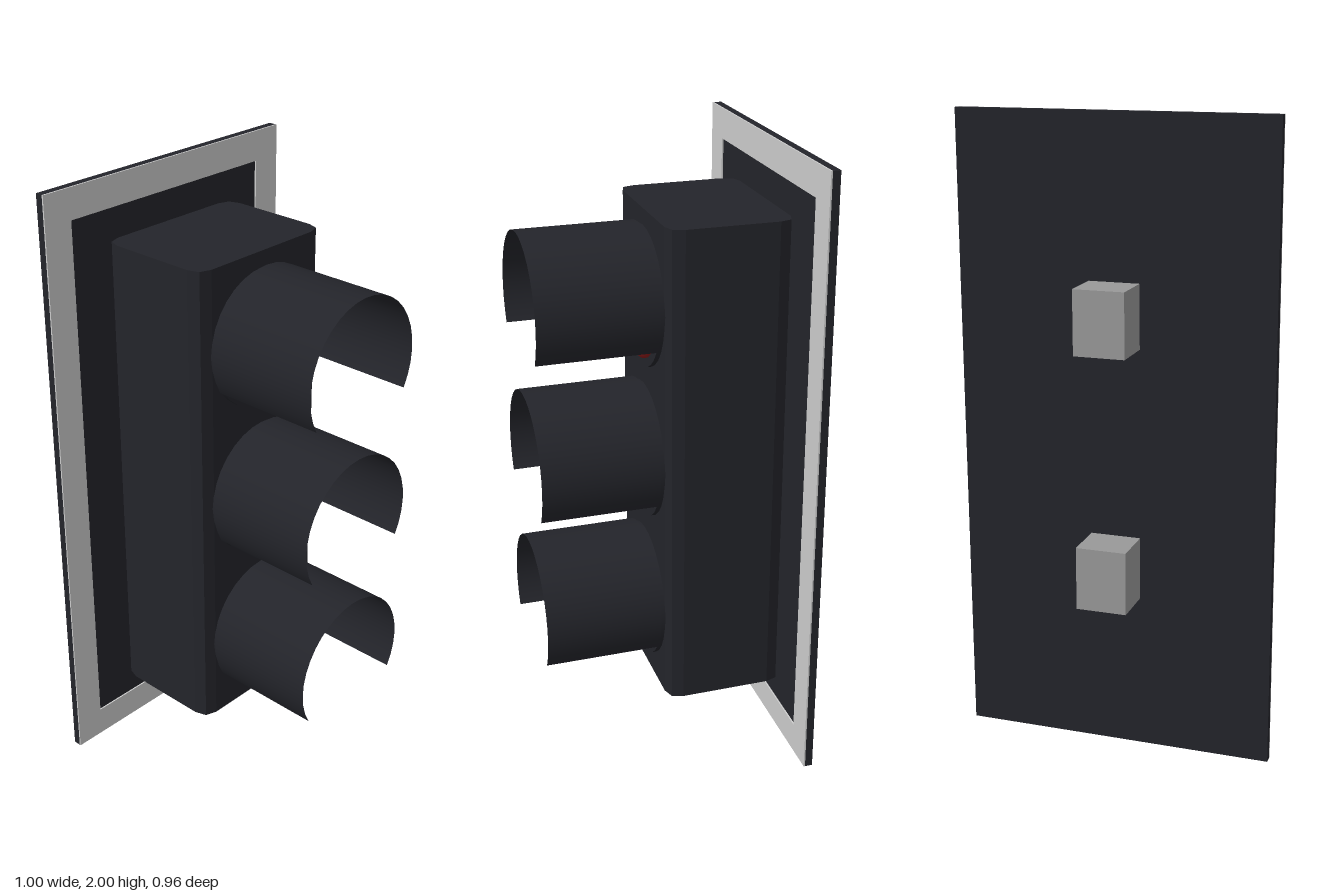
import * as THREE from 'three';

const mat = (color, side = THREE.FrontSide) => new THREE.MeshStandardMaterial({ color, side });

function add(parent, name, geometry, material, x = 0, y = 0, z = 0) {
  const mesh = new THREE.Mesh(geometry, material);
  mesh.name = name;
  mesh.position.set(x, y, z);
  parent.add(mesh);
  return mesh;
}

// Rectangle with softened corners, centred on the origin
function roundedRect(w, d, r) {
  const x = w / 2, y = d / 2;
  const s = new THREE.Shape();
  s.moveTo(-x + r, -y);
  s.lineTo(x - r, -y);
  s.quadraticCurveTo(x, -y, x, -y + r);
  s.lineTo(x, y - r);
  s.quadraticCurveTo(x, y, x - r, y);
  s.lineTo(-x + r, y);
  s.quadraticCurveTo(-x, y, -x, y - r);
  s.lineTo(-x, -y + r);
  s.quadraticCurveTo(-x, -y, -x + r, -y);
  return s;
}

export function createModel() {
  const model = new THREE.Group();
  model.name = 'trafficLight';
  const dark = mat(0x23242a);
  const darkThin = mat(0x23242a, THREE.DoubleSide);
  const grey = mat(0xcccccc);
  const bracketGrey = mat(0x999999);

  // Housing: rounded outline extruded upwards
  const housing = new THREE.ExtrudeGeometry(roundedRect(0.54, 0.395, 0.05),
    { depth: 1.6, bevelEnabled: false, curveSegments: 2 });
  housing.rotateX(-Math.PI / 2);
  add(model, 'housing', housing, dark, 0, 0.2, -0.1125);

  // Backplate with a pale border on its front
  add(model, 'backplate', new THREE.BoxGeometry(1, 2, 0.025), dark, 0, 1, -0.3275);
  const frame = roundedRect(1, 2, 0);
  frame.holes.push(roundedRect(0.8, 1.8, 0));
  add(model, 'backplateBorder', new THREE.ExtrudeGeometry(frame, { depth: 0.005, bevelEnabled: false }),
    grey, 0, 1, -0.315);

  // Mounting brackets behind the plate
  for (const y of [0.6, 1.4]) {
    add(model, 'mountingBracket', new THREE.BoxGeometry(0.16, 0.2, 0.14), bracketGrey, 0, y, -0.41);
  }

  // Three lamps, each with a bezel, a domed lens and a visor open below
  const bezel = new THREE.CylinderGeometry(0.225, 0.225, 0.02, 32).rotateX(Math.PI / 2);
  const lens = new THREE.SphereGeometry(0.197, 24, 10, 0, Math.PI * 2, 0, Math.PI / 2)
    .rotateX(Math.PI / 2).scale(1, 1, 0.26);
  const sweep = Math.PI * 4 / 3;
  const visor = new THREE.CylinderGeometry(0.235, 0.235, 0.38, 24, 1, true, Math.PI - sweep / 2, sweep)
    .rotateX(Math.PI / 2);
  const lamps = [['red', 1.523, 0x901a1a], ['amber', 1.003, 0xa06812], ['green', 0.483, 0x177049]];
  for (const [name, y, color] of lamps) {
    const lamp = new THREE.Group();
    lamp.name = name + 'Lamp';
    lamp.position.y = y;
    add(lamp, 'bezel', bezel, dark, 0, 0, 0.09);
    add(lamp, 'lens', lens, mat(color), 0, 0, 0.1);
    add(lamp, 'visor', visor, darkThin, 0, 0, 0.29);
    model.add(lamp);
  }
  return model;
}
